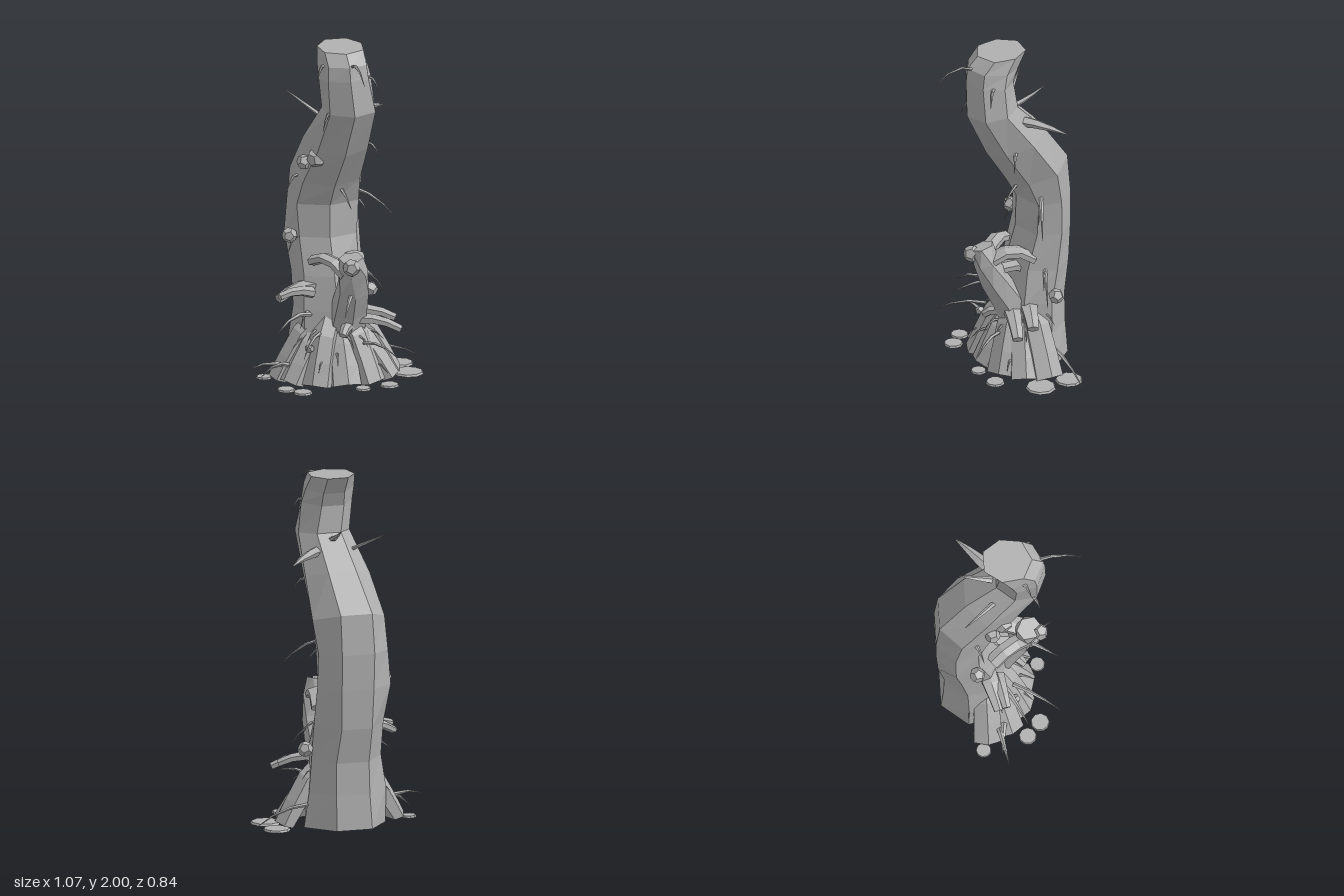
import * as THREE from 'three';

const V = (x, y, z) => new THREE.Vector3(x, y, z);

// Small seeded random in 0..1
let seed = 7;
const rnd = () => { seed = (seed * 16807) % 2147483647; return seed / 2147483647; };

// Skin a list of equal-length rings and cap both ends
function loft(rings) {
  const n = rings[0].length, pos = [], idx = [];
  rings.forEach(r => r.forEach(p => pos.push(p.x, p.y, p.z)));
  for (let i = 0; i < rings.length - 1; i++) for (let j = 0; j < n; j++) {
    const a = i * n + j, b = i * n + (j + 1) % n;
    idx.push(a, b, b + n, a, b + n, a + n);
  }
  const e = (rings.length - 1) * n;
  for (let j = 1; j < n - 1; j++) idx.push(0, j + 1, j, e, e + j, e + j + 1);
  const g = new THREE.BufferGeometry();
  g.setAttribute('position', new THREE.Float32BufferAttribute(pos, 3));
  g.setIndex(idx);
  const flat = g.toNonIndexed();
  flat.computeVertexNormals();
  return flat;
}

// Tapering limb along points; size(s) gives [thickness, width] at s in 0..1
function limb(points, sides, size) {
  const last = points.length - 1;
  return loft(points.map((p, i) => {
    const t = points[Math.min(i + 1, last)].clone().sub(points[Math.max(i - 1, 0)]).normalize();
    const u = V(0, 1, 0).addScaledVector(t, -t.y).normalize();
    const v = t.clone().cross(u);
    const [thick, wide] = size(i / last);
    return Array.from({ length: sides }, (_, j) => {
      const a = j / sides * Math.PI * 2;
      const q = p.clone().addScaledVector(u, Math.cos(a) * thick).addScaledVector(v, Math.sin(a) * wide);
      q.y = Math.max(0, q.y);
      return q;
    });
  }));
}

// Points from a to b, raised in the middle
const arch = (a, b, lift) => [0, 0.33, 0.67, 1].map(s =>
  a.clone().lerp(b, s).add(V(0, lift * 4 * s * (1 - s), 0)));

export function createModel() {
  seed = 7;
  const model = new THREE.Group();
  model.name = 'twistedTrunk';
  const bark = new THREE.MeshStandardMaterial({ color: 0xb0b0b0, flatShading: true });
  bark.name = 'grey bark';
  const add = (name, geo) => {
    const m = new THREE.Mesh(geo, bark);
    m.name = name;
    model.add(m);
    return m;
  };

  // Trunk: height, centre x, centre z, radius x, radius z, slope of the ring
  const trunk = [
    [0, -0.025, -0.19, 0.24, 0.222, 0],
    [0.2, -0.03, -0.19, 0.225, 0.205, 0],
    [0.4, -0.025, -0.2, 0.215, 0.19, 0.06],
    [0.6, -0.035, -0.235, 0.205, 0.19, 0.05],
    [0.82, -0.045, -0.275, 0.215, 0.158, 0],
    [1.02, -0.045, -0.278, 0.215, 0.155, -0.05],
    [1.2, -0.035, -0.235, 0.212, 0.18, -0.35],
    [1.42, -0.005, -0.09, 0.188, 0.175, -0.35],
    [1.65, 0.022, 0.065, 0.158, 0.15, -0.1],
    [1.83, -0.002, 0.07, 0.15, 0.14, 0.1],
    [1.91, -0.005, 0.05, 0.142, 0.15, 0.1],
    [1.993, -0.01, -0.01, 0.135, 0.145, -0.03],
  ];
  const trunkPoint = ([y, cx, cz, rx, rz, k], a, w) => {
    const dz = Math.cos(a) * rz;
    return V(cx + Math.sin(a) * rx * w, y + k * dz, cz + dz);
  };
  add('trunk', loft(trunk.map((ring, i) => Array.from({ length: 7 }, (_, j) =>
    trunkPoint(ring, j / 7 * Math.PI * 2, 1.02 + 0.05 * Math.sin(i * 2.1 + j * 3.7))))));

  // Broken side stem growing from the front, swollen in the middle
  add('sideStem', limb(
    [V(0.03, 0.24, -0.1), V(0.04, 0.42, -0.02), V(0.045, 0.56, 0.06), V(0.04, 0.68, 0.105), V(0.02, 0.77, 0.12)],
    6, s => [0.1 - 0.035 * s, 0.12 - 0.045 * s]));
  // Short arms joining the side stem to the trunk
  [
    [V(0.06, 0.69, 0.08), V(0.1, 0.67, -0.16), 0.06],
    [V(0.02, 0.56, 0.06), V(0.04, 0.57, -0.15), 0.05],
    [V(0, 0.66, 0.1), V(-0.15, 0.7, -0.1), 0.05],
  ].forEach(([a, b, w]) => add('linkArm', limb(arch(a, b, 0.05), 6, () => [0.03, w])));

  // Chunky buttress roots fanned around the front and sides
  for (let i = 0; i < 7; i++) {
    const a = -1.55 + i * 0.53, h = i % 2 ? 0.23 : 0.29;
    const at = (s, y) => V(-0.015 + Math.sin(a) * 0.32 * s, y, -0.14 + Math.cos(a) * 0.23 * s);
    add('root', limb([at(0.25, h + 0.06), at(0.58, h * 0.88), at(0.83, h * 0.42), at(1.04, 0)],
      6, s => [0.075 - 0.015 * s, 0.075 + 0.02 * s]));
  }

  // Curved shelf growths: start, end, width
  [
    [V(-0.15, 0.55, -0.13), V(-0.36, 0.49, -0.07), 0.06],
    [V(-0.16, 0.52, -0.07), V(-0.36, 0.52, -0.03), 0.045],
    [V(0.1, 0.36, -0.03), V(0.33, 0.3, 0.04), 0.055],
    [V(0.1, 0.38, -0.13), V(0.32, 0.34, -0.06), 0.06],
    [V(0.04, 0.33, 0), V(-0.02, 0.3, 0.09), 0.04],
  ].forEach(([a, b, w]) =>
    add('shelf', limb(arch(a, b, 0.02), 6, s => [0.032 - 0.01 * s, w * (1 - 0.4 * s)])));

  // Thorns: start, end, base thickness, arch height
  const thorn = (a, b, r, lift) => add('thorn', limb(arch(a, b, lift), 5, s => {
    const k = r * (1 - 0.9 * s ** 1.5);
    return [k * 0.7, k];
  }));
  thorn(V(0.01, 1.92, 0.16), V(0.03, 1.88, 0.42), 0.012, 0.05);
  thorn(V(0.09, 1.57, -0.09), V(0.3, 1.54, -0.28), 0.042, 0.01);
  thorn(V(0.01, 1.62, -0.05), V(0.015, 1.72, -0.28), 0.024, -0.01);
  thorn(V(-0.1, 1.56, -0.08), V(-0.29, 1.69, -0.26), 0.017, 0);
  thorn(V(0.12, 1.08, -0.2), V(0.34, 0.91, -0.11), 0.014, 0.03);
  thorn(V(0, 1.13, -0.14), V(0.05, 1.02, 0), 0.014, 0.02);
  thorn(V(-0.18, 0.4, -0.04), V(-0.4, 0.34, 0.09), 0.02, 0.04);
  thorn(V(-0.28, 0.08, -0.08), V(-0.54, 0.1, -0.03), 0.02, 0.03);
  thorn(V(-0.28, 0.1, -0.04), V(-0.46, 0.04, -0.06), 0.02, 0.04);
  thorn(V(0.2, 0.13, -0.23), V(0.53, 0.02, -0.27), 0.015, 0.03);
  thorn(V(0.11, 0.24, 0.06), V(0.26, 0.2, 0.26), 0.014, 0.03);
  thorn(V(-0.14, 0.3, 0.02), V(-0.29, 0.24, 0.28), 0.014, 0.03);
  thorn(V(0.03, 0.55, 0.1), V(-0.05, 0.47, 0.28), 0.014, 0.01);
  thorn(V(0.13, 0.62, -0.22), V(0.3, 0.44, -0.16), 0.012, 0.03);

  // Small drooping thorns up both sides of the trunk
  trunk.slice(2, 11).forEach((ring, i) => {
    const a = (i % 2 ? 1 : -1) * (0.9 + rnd() * 0.6);
    thorn(trunkPoint(ring, a, 0.9), trunkPoint(ring, a, 1.25).add(V(0, -0.09, 0.04)), 0.012, 0.03);
  });
  // Fine thorns scattered over the lower roots
  for (let i = 0; i < 12; i++) {
    const a = -1.9 + i / 11 * 3.8, y = 0.08 + rnd() * 0.26, r = 0.3 - y * 0.35;
    const at = (d, h) => V(-0.01 + Math.sin(a) * (r + d), h, -0.15 + Math.cos(a) * (r + d));
    thorn(at(-0.05, y), at(0.07, y - 0.04), 0.011, 0.03);
  }

  // Knobs: position and radius
  [
    [-0.265, 0.83, -0.19, 0.045], [-0.14, 1.33, -0.04, 0.06], [-0.2, 1.29, -0.1, 0.045],
    [0.01, 0.73, 0.18, 0.05], [0.22, 0.46, -0.25, 0.045], [-0.2, 0.22, 0.03, 0.028],
  ].forEach(([x, y, z, r]) => {
    const m = add('knob', new THREE.DodecahedronGeometry(r));
    m.position.set(x, y, z);
    m.rotation.set(rnd() * 3, rnd() * 3, rnd() * 3);
  });

  // Flat scales lying on the ground: x, z, radius
  [
    [0.39, -0.25, 0.08], [0.4, -0.07, 0.088], [0.24, 0.14, 0.055], [-0.27, 0.165, 0.055],
    [-0.35, 0.09, 0.052], [-0.42, -0.165, 0.045], [0.08, 0.17, 0.045],
  ].forEach(([x, z, r]) => {
    const m = add('groundScale', new THREE.CylinderGeometry(r * 0.92, r, 0.012, 9));
    m.position.set(x, 0.006, z);
    m.rotation.y = rnd() * 0.5;
  });

  return model;
}
